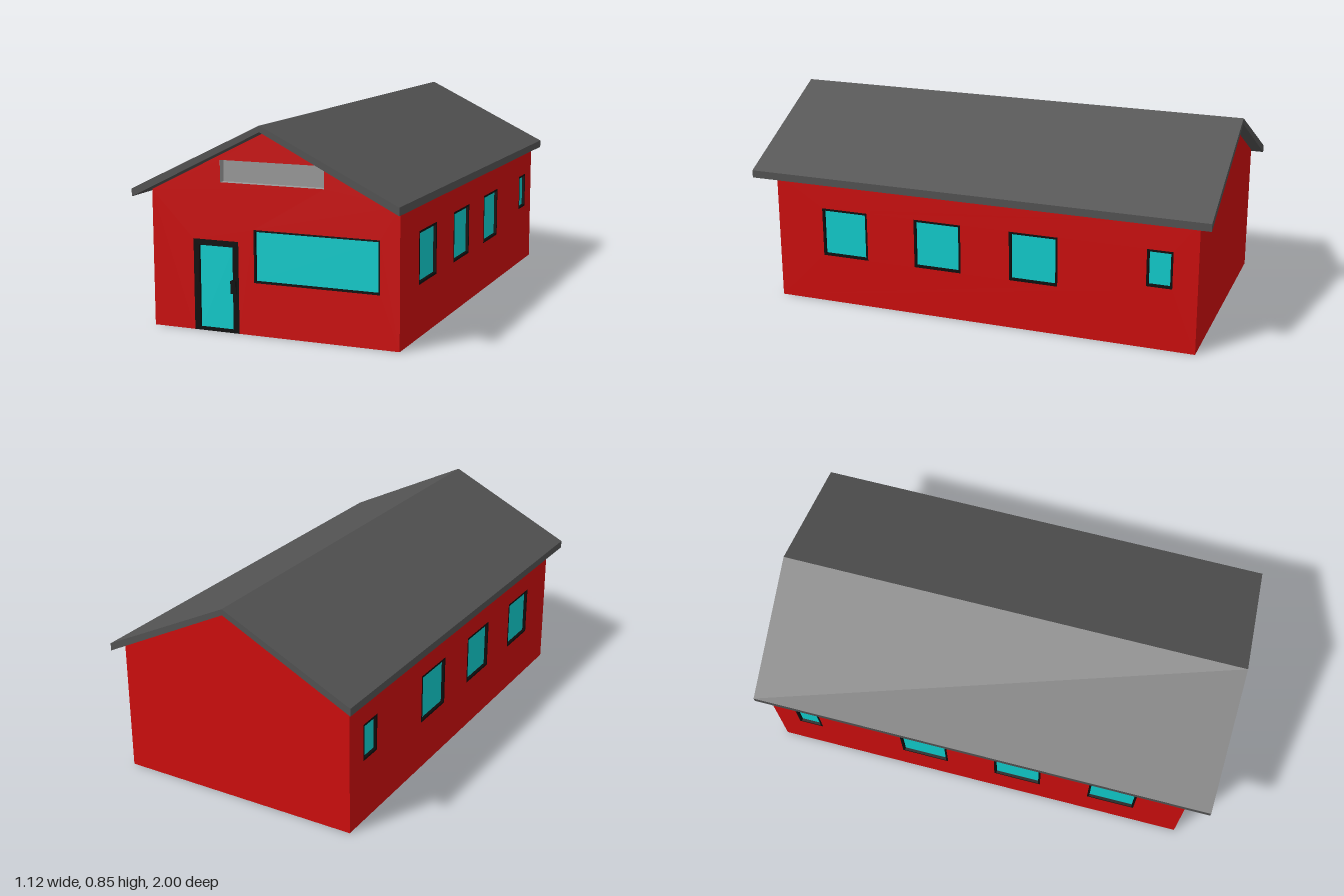
import * as THREE from 'three';

const mat = (color, side = THREE.FrontSide) => new THREE.MeshStandardMaterial({ color, side });
const red = mat(0xcc0d0d, THREE.DoubleSide);
const black = mat(0x0d0d0d);
const cyan = mat(0x10cccc, THREE.DoubleSide);
const roofGrey = mat(0x525252);
const ventGrey = mat(0x999999, THREE.DoubleSide);

const HALF = 0.527, FRONT = 0.9, BACK = -0.95, EAVE = 0.556, RIDGE = 0.82;

function add(parent, name, geometry, material) {
  const mesh = new THREE.Mesh(geometry, material);
  mesh.name = name;
  parent.add(mesh);
  return mesh;
}

const polygon = (pts) => new THREE.Shape(pts.map(([x, y]) => new THREE.Vector2(x, y)));
const rect = (x0, y0, x1, y1) => polygon([[x0, y0], [x1, y0], [x1, y1], [x0, y1]]);

// Frame flush with the outer wall face, with a pane set back inside it
function glazing(parent, name, outer, inner, depth = 0.02) {
  const group = new THREE.Group();
  group.name = name;
  const shape = rect(...outer);
  shape.holes.push(rect(...inner));
  const frame = new THREE.ExtrudeGeometry(shape, { depth, bevelEnabled: false });
  add(group, name + 'Frame', frame.translate(0, 0, -depth), black);
  add(group, name + 'Glass', new THREE.ShapeGeometry(rect(...inner)).translate(0, 0, -depth * 0.6), cyan);
  parent.add(group);
}

const inset = ([x0, y0, x1, y1], t) => [x0 + t, y0 + t, x1 - t, y1 - t];

function frontWall() {
  const g = new THREE.Group();
  g.name = 'frontWall';
  const door = [-0.345, 0, -0.147, 0.37];
  const win = [-0.08, 0.212, 0.447, 0.423];
  const vent = [-0.222, 0.602, 0.22, 0.69];
  // Gable outline with a notch for the door
  const shape = polygon([
    [-HALF, 0], [door[0], 0], [door[0], door[3]], [door[2], door[3]], [door[2], 0],
    [HALF, 0], [HALF, EAVE], [0, RIDGE], [-HALF, EAVE],
  ]);
  shape.holes.push(rect(...win), rect(...vent));
  add(g, 'frontGable', new THREE.ShapeGeometry(shape), red);
  glazing(g, 'frontWindow', win, inset(win, 0.007));
  glazing(g, 'door', door, [-0.321, 0.012, -0.173, 0.346]);
  add(g, 'doorHandle', new THREE.BoxGeometry(0.024, 0.052, 0.025), black).position.set(-0.17, 0.186, -0.007);

  // Recessed vent: four reveals around a set-back panel
  const d = 0.03;
  const reveal = new THREE.ExtrudeGeometry((() => {
    const s = rect(...inset(vent, -0.002));
    s.holes.push(rect(...vent));
    return s;
  })(), { depth: d, bevelEnabled: false });
  add(g, 'ventReveal', reveal.translate(0, 0, -d - 0.001), ventGrey);
  add(g, 'ventPanel', new THREE.ShapeGeometry(rect(...vent)).translate(0, 0, -d), ventGrey);
  g.position.z = FRONT;
  return g;
}

// Side wall in local coordinates, turned outward to +x or -x
function sideWall(side) {
  const g = new THREE.Group();
  g.name = side > 0 ? 'leftWall' : 'rightWall';
  const span = (z0, y0, z1, y1) => side > 0 ? [-z1, y0, -z0, y1] : [z0, y0, z1, y1];
  const windows = [0.48, 0.054, -0.37].map((z) => span(z, 0.212, z + 0.21, 0.425));
  windows.push(span(-0.847, 0.267, -0.74, 0.425));
  const shape = rect(...span(BACK, 0, FRONT, EAVE));
  windows.forEach((w) => shape.holes.push(rect(...w)));
  add(g, 'sidePanel', new THREE.ShapeGeometry(shape), red);
  windows.forEach((w, i) => glazing(g, 'sideWindow' + (i + 1), w, inset(w, 0.009)));
  g.rotation.y = side * Math.PI / 2;
  g.position.x = side * HALF;
  return g;
}

export function createModel() {
  const house = new THREE.Group();
  house.name = 'house';
  house.add(frontWall(), sideWall(1), sideWall(-1));

  // Plain back gable
  const back = polygon([[-HALF, 0], [HALF, 0], [HALF, EAVE], [0, RIDGE], [-HALF, EAVE]]);
  const backWall = add(house, 'backWall', new THREE.ShapeGeometry(back), red);
  backWall.rotation.y = Math.PI;
  backWall.position.z = BACK;

  // Overhanging pitched roof slab
  const roof = polygon([
    [-0.56, 0.54], [0, RIDGE], [0.56, 0.54], [0.56, 0.572], [0, 0.845], [-0.56, 0.572],
  ]);
  const roofGeo = new THREE.ExtrudeGeometry(roof, { depth: 2, bevelEnabled: false });
  add(house, 'roof', roofGeo.translate(0, 0, -1), roofGrey);
  return house;
}
